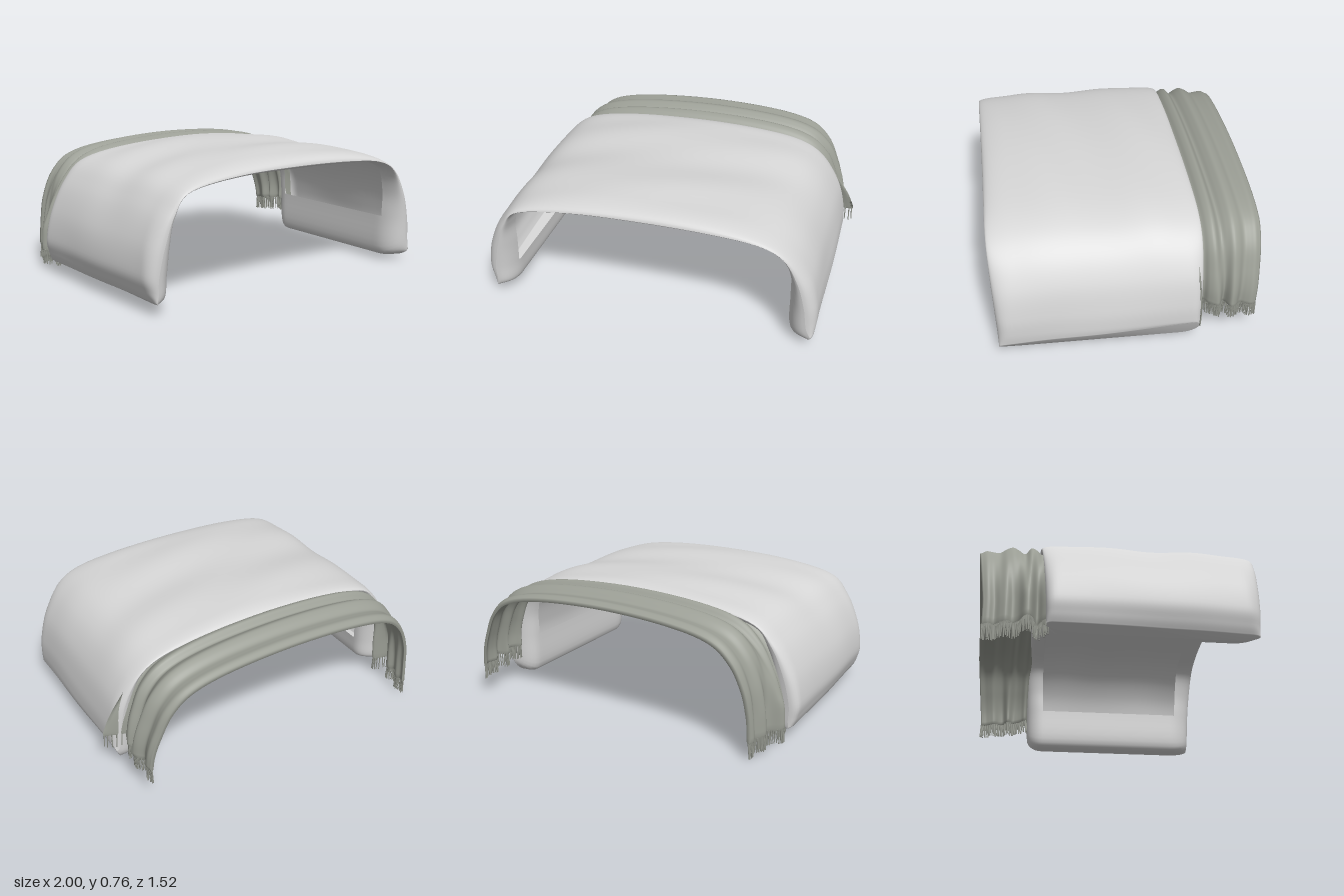
import * as THREE from 'three';
import { mergeGeometries } from 'three/addons/utils/BufferGeometryUtils.js';

const curve = (pts) => new THREE.SplineCurve(pts.map(([x, y]) => new THREE.Vector2(x, y)));
const { clamp, lerp, smoothstep } = THREE.MathUtils;

// Skin a grid of points that wraps round in i; cells where skip(i, j) is true stay open.
function loft(ni, nj, point, skip = () => false) {
  const pos = [], idx = [];
  for (let j = 0; j < nj; j++)
    for (let i = 0; i < ni; i++) pos.push(...point(i, j).toArray());
  for (let j = 0; j < nj - 1; j++)
    for (let i = 0; i < ni; i++) {
      if (skip(i, j)) continue;
      const n = (i + 1) % ni;
      const a = j * ni + i, b = j * ni + n, c = a + ni, d = b + ni;
      idx.push(a, c, b, b, c, d);
    }
  const g = new THREE.BufferGeometry();
  g.setAttribute('position', new THREE.Float32BufferAttribute(pos, 3));
  g.setIndex(idx);
  g.computeVertexNormals();
  return g;
}

// Cover: matching outer and inner arches, right end to left end
const outer = curve([[-0.965, 0.08], [-0.985, 0.13], [-1, 0.22], [-0.965, 0.38], [-0.87, 0.55], [-0.72, 0.67],
  [-0.4, 0.733], [0, 0.754], [0.4, 0.733], [0.65, 0.685], [0.8, 0.59], [0.9, 0.44], [0.945, 0.28],
  [0.955, 0.17], [0.95, 0.12]]);
const inner = curve([[-0.9, 0.055], [-0.825, 0.08], [-0.812, 0.2], [-0.805, 0.36], [-0.8, 0.5], [-0.73, 0.61],
  [-0.4, 0.655], [0, 0.66], [0.4, 0.655], [0.62, 0.64], [0.74, 0.58], [0.785, 0.44], [0.79, 0.28],
  [0.8, 0.06], [0.895, 0.028]]);

const round = (d, r) => Math.sqrt(Math.max(0, 1 - (1 - Math.min(1, d / r)) ** 2));

function coverPoint(s, t, isInner) {
  const o = outer.getPoint(s), n = inner.getPoint(s);
  const drop = clamp(1 - o.y / 0.7, 0, 1), top = 1 - drop;
  const zFront = 0.738 - 0.022 * o.x + 0.012 * o.x * o.x - 0.04 * drop;
  const zBack = -0.39 - 0.022 * o.x - 0.03 * top;
  const z = lerp(zBack, zFront, t);
  // Rounded edges: soft on top, crisp outside and flared inside on the sides
  const sharp = isInner ? 0 : drop;
  const k = Math.min(round(zFront - z, 0.14 - 0.1 * sharp), round(z - zBack, 0.1 - 0.08 * sharp));
  // Gentle rumples on top, a narrowing right side, and a left hem that rises to the back
  o.y += top * (0.007 * Math.sin(11.9 * z + 3 + 0.5 * o.x) + 0.002 * Math.sin(17 * z + 7 * o.x) - 0.006 * z);
  o.y += smoothstep(s, 0.92, 1) * 0.055 * (0.5 - t);
  o.x += drop * 0.004 * Math.sin(7 * z + 9 * o.y);
  if (o.x < 0) o.x += 0.045 * drop * smoothstep(z, 0, 0.75);
  const mid = n.clone().lerp(o, lerp(0.6 - 0.3 * t, 0.8, drop));
  const p = mid.lerp(isInner ? n : o, k);
  return new THREE.Vector3(p.x, p.y, z);
}

// The sheet is turned under along every edge; the hem frames an open middle
function makeCover() {
  const half = 84, rows = 41;
  const inOpening = (i, j) => {
    const along = i - half;
    return along >= 12 && along < half - 13 && j >= 8 && j < rows - 9;
  };
  return loft(half * 2, rows, (i, j) => {
    const t = (1 - Math.cos((Math.PI * j) / (rows - 1))) / 2;
    const isInner = i >= half;
    const s = (isInner ? half * 2 - 1 - i : i) / (half - 1);
    return coverPoint(s, t, isInner);
  }, inOpening);
}

// Throw: a draped path with lengthwise folds, different on top and at each hanging end
const drape = curve([[-0.895, 0.1], [-0.885, 0.25], [-0.86, 0.4], [-0.79, 0.55], [-0.66, 0.655], [-0.4, 0.708],
  [0, 0.73], [0.4, 0.712], [0.65, 0.66], [0.78, 0.56], [0.85, 0.42], [0.885, 0.31], [0.895, 0.212]]);
const evenly = (heights) => curve(heights.map((h, i) => [i / (heights.length - 1), h]));
const topFolds = evenly([0, -0.018, 0.006, 0.015, -0.018, 0, 0.015, 0.004, -0.018, -0.016, -0.012, -0.028]);
const leftFolds = evenly([0.1, -0.045, -0.02, 0, 0.005, -0.045, 0.012, 0.005, -0.03, -0.02, -0.01, -0.02]);
const rightFolds = evenly([0.04, 0.01, -0.03, 0.06, 0.065, 0.01, -0.01, 0.015, 0, -0.025, -0.01, -0.02]);

function throwPoint(s, v, offset) {
  const p = drape.getPoint(s), tan = drape.getTangent(s);
  const hang = clamp((0.64 - p.y) / 0.4, 0, 1);
  const isLeft = p.x > 0;
  const zFront = -0.38 - 0.025 * p.x;
  const zBack = -0.752 - 0.02 * p.x + 0.036 * hang;
  const shifted = clamp(v + 0.03 * Math.sin(5 * s) * Math.sin(Math.PI * v), 0, 1);
  const hanging = (isLeft ? leftFolds : rightFolds).getPoint(v).y;
  const d = lerp(topFolds.getPoint(shifted).y, hanging, hang ** 1.5) + offset;
  const slant = (isLeft ? 0.022 : 0.01) * hang * (1 - 2 * v);
  return new THREE.Vector3(p.x - tan.y * d, p.y + tan.x * d + slant, lerp(zFront, zBack, v));
}

function makeThrow() {
  const half = 52, rows = 72;
  return loft(half * 2, rows, (i, j) => {
    const under = i >= half;
    const v = (under ? half * 2 - 1 - i : i) / (half - 1);
    const thick = j === 0 || j === rows - 1 ? 0.001 : 0.009;
    return throwPoint(j / (rows - 1), v, under ? -thick : thick);
  });
}

// Fringe: slim strands hanging from one end of the throw
function makeFringe(s, seed) {
  const rand = () => (seed = (seed * 16807) % 2147483647) / 2147483647;
  const strands = [], count = 72;
  for (let i = 0; i < count; i++) {
    const length = 0.08 + 0.014 * rand();
    const g = new THREE.CylinderGeometry(0.004, 0.003, length, 5);
    g.translate(0, 0.008 - length / 2, 0);
    g.rotateX((rand() - 0.5) * 0.14);
    g.rotateZ((rand() - 0.5) * 0.14);
    const p = throwPoint(s, i / (count - 1), 0);
    g.translate(p.x, p.y, p.z);
    strands.push(g);
  }
  return mergeGeometries(strands);
}

export function createModel() {
  const model = new THREE.Group();
  model.name = 'bedCoverWithThrow';
  const linen = new THREE.MeshStandardMaterial({ color: 0xd6d6d6, side: THREE.DoubleSide });
  linen.name = 'pale grey linen';
  const wool = new THREE.MeshStandardMaterial({ color: 0x9b9e95, side: THREE.DoubleSide });
  wool.name = 'grey green wool';

  const add = (name, geometry, material) => {
    const mesh = new THREE.Mesh(geometry, material);
    mesh.name = name;
    model.add(mesh);
  };
  add('cover', makeCover(), linen);
  add('throwBlanket', makeThrow(), wool);
  add('leftFringe', makeFringe(1, 17), wool);
  add('rightFringe', makeFringe(0, 91), wool);
  return model;
}
